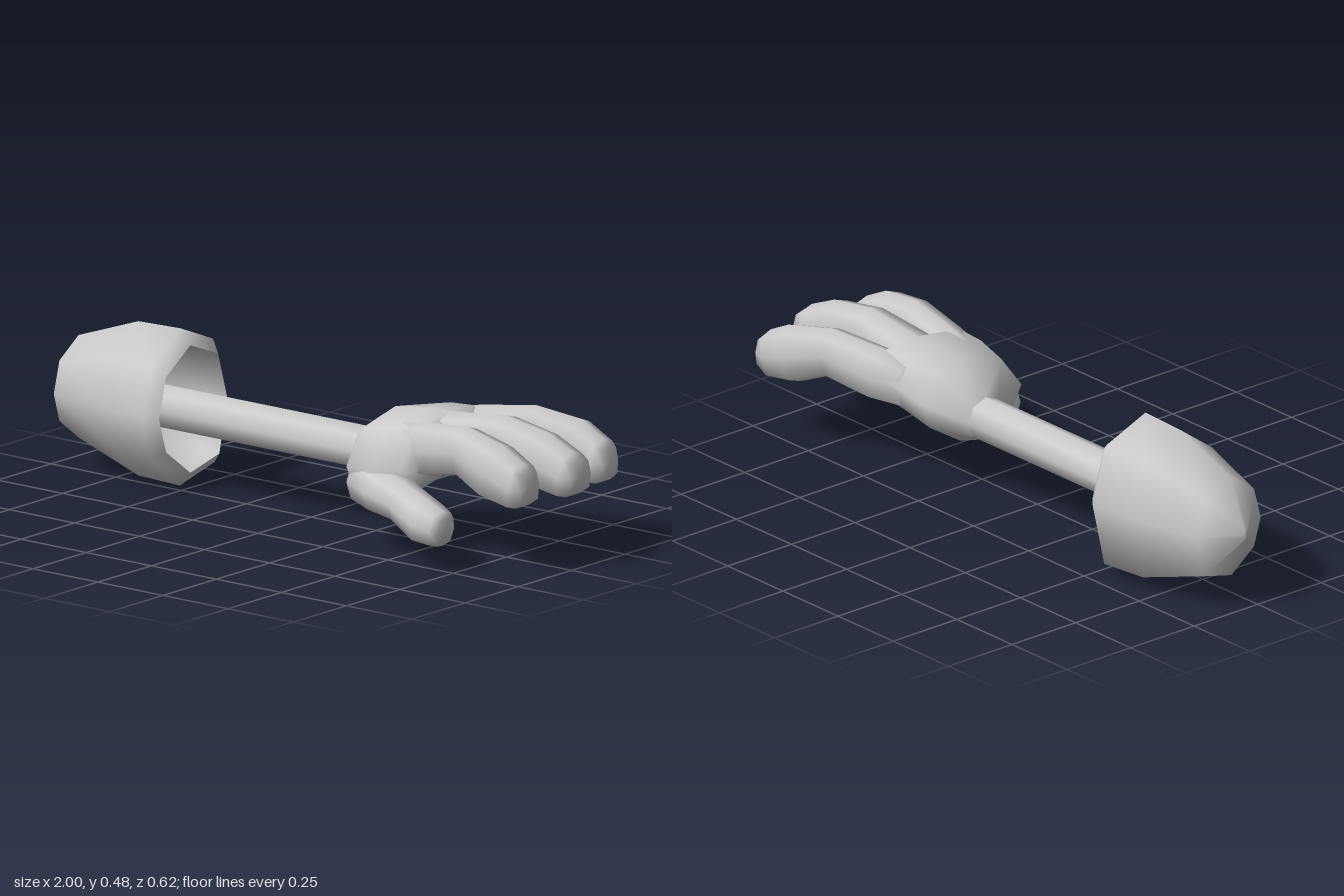
import * as THREE from 'three';

const SIDES = 8;
const material = new THREE.MeshStandardMaterial({ color: 0xcccccc });

// Skins a list of 8-point rings (ordered top, back, bottom, front) and closes chosen ends.
function loft(name, rings, capStart = true, capEnd = true) {
  const pos = [], idx = [];
  rings.forEach(r => r.forEach(p => pos.push(p.x, p.y, p.z)));
  const at = (i, j) => i * SIDES + (j % SIDES);
  for (let i = 0; i < rings.length - 1; i++) {
    for (let j = 0; j < SIDES; j++) {
      idx.push(at(i, j), at(i + 1, j), at(i, j + 1));
      idx.push(at(i, j + 1), at(i + 1, j), at(i + 1, j + 1));
    }
  }
  const cap = (i, flip) => {
    const c = new THREE.Vector3();
    rings[i].forEach(p => c.addScaledVector(p, 1 / SIDES));
    const k = pos.length / 3;
    pos.push(c.x, c.y, c.z);
    for (let j = 0; j < SIDES; j++) {
      if (flip) idx.push(k, at(i, j + 1), at(i, j));
      else idx.push(k, at(i, j), at(i, j + 1));
    }
  };
  if (capStart) cap(0, false);
  if (capEnd) cap(rings.length - 1, true);
  const g = new THREE.BufferGeometry();
  g.setAttribute('position', new THREE.Float32BufferAttribute(pos, 3));
  g.setIndex(idx);
  g.computeVertexNormals();
  const mesh = new THREE.Mesh(g, material);
  mesh.name = name;
  return mesh;
}

// Rings set square to a path; each stop is [x, y, z, half height, half width].
// diagonal places the four corner points: 0.71 is round, larger is boxier.
function limb(name, stops, diagonal) {
  const d = diagonal;
  const unit = [[1, 0], [d, d], [0, 1], [-d, d], [-1, 0], [-d, -d], [0, -1], [d, -d]];
  const centres = stops.map(s => new THREE.Vector3(s[0], s[1], s[2]));
  const rings = stops.map((s, i) => {
    const t = centres[Math.min(i + 1, stops.length - 1)].clone()
      .sub(centres[Math.max(i - 1, 0)]).normalize();
    const side = new THREE.Vector3(0, 1, 0).cross(t).normalize();
    const up = t.clone().cross(side);
    return unit.map(([u, v]) => centres[i].clone()
      .addScaledVector(up, u * s[3]).addScaledVector(side, v * s[4]));
  });
  return loft(name, rings);
}

const section = (x, yz) => yz.map(([y, z]) => new THREE.Vector3(x, y, z));

export function createModel() {
  const model = new THREE.Group();
  model.name = 'gloveArm';

  // Sleeve: uneven octagon scaled along the arm [x, y scale, z scale], with a hollow mouth
  const outline = [[0.243, 0], [0.18, -0.155], [0, -0.207], [-0.2, -0.162],
    [-0.24, 0], [-0.135, 0.135], [0, 0.175], [0.15, 0.135]];
  const sleeveRing = ([x, sy, sz]) =>
    section(x, outline.map(([y, z]) => [0.24 + y * sy, -0.043 + z * sz]));
  const sleeve = new THREE.Group();
  sleeve.name = 'sleeve';
  sleeve.add(
    loft('sleeveShell', [[-1, 0.07, 0.05], [-0.93, 0.65, 0.66], [-0.7, 0.98, 0.92],
      [-0.54, 1, 1], [-0.5, 0.81, 0.84]].map(sleeveRing), true, false),
    loft('sleeveLining', [[-0.5, 0.81, 0.84], [-0.56, 0.8, 0.8], [-0.72, 0.72, 0.72]]
      .map(sleeveRing), false, true));
  model.add(sleeve);

  // Arm
  model.add(limb('forearm', [[-0.75, 0.233, -0.047, 0.067, 0.067],
    [-0.2, 0.233, -0.047, 0.067, 0.067], [0.2, 0.233, -0.047, 0.067, 0.067]], 0.71));

  // Palm, widening from the wrist and tilted toward the thumb
  const hand = new THREE.Group();
  hand.name = 'hand';
  const wrist = Array.from({ length: SIDES }, (_, j) => {
    const a = j / SIDES * Math.PI * 2;
    return [0.233 + Math.cos(a) * 0.068, -0.047 - Math.sin(a) * 0.068];
  });
  hand.add(loft('palm', [
    section(0.18, wrist),
    section(0.29, [[0.38, -0.04], [0.365, -0.14], [0.28, -0.2], [0.2, -0.17],
      [0.125, -0.05], [0.112, 0.12], [0.24, 0.19], [0.345, 0.11]]),
    section(0.4, [[0.393, -0.04], [0.385, -0.165], [0.31, -0.215], [0.23, -0.18],
      [0.16, -0.05], [0.13, 0.13], [0.24, 0.205], [0.365, 0.125]]),
    section(0.49, [[0.396, -0.04], [0.388, -0.175], [0.32, -0.222], [0.25, -0.19],
      [0.21, -0.05], [0.175, 0.12], [0.255, 0.175], [0.375, 0.118]]),
    section(0.54, [[0.36, -0.04], [0.35, -0.17], [0.32, -0.2], [0.29, -0.18],
      [0.265, -0.05], [0.24, 0.09], [0.28, 0.13], [0.35, 0.1]]),
  ]));

  // Three fingers share one curled profile: [x, y, half height]
  const profile = [[0.4, 0.31, 0.07], [0.52, 0.318, 0.082], [0.7, 0.344, 0.075],
    [0.84, 0.308, 0.088], [0.945, 0.276, 0.073], [0.985, 0.278, 0.05]];
  // Each finger: name, [centre z, half width] per stop, tip x, lift
  const fingers = [
    ['backFinger', [[-0.158, 0.05], [-0.18, 0.054], [-0.222, 0.053],
      [-0.255, 0.06], [-0.252, 0.054], [-0.255, 0.043]], 0.945, -0.008],
    ['middleFinger', [[-0.045, 0.065], [-0.047, 0.075], [-0.046, 0.064],
      [-0.046, 0.065], [-0.048, 0.06], [-0.049, 0.052]], 1, 0],
    ['frontFinger', [[0.075, 0.05], [0.087, 0.054], [0.106, 0.056],
      [0.125, 0.064], [0.129, 0.058], [0.131, 0.046]], 0.95, -0.008],
  ];
  for (const [name, widths, reach, lift] of fingers) {
    const stops = profile.map(([x, y, ry], i) =>
      [0.4 + (x - 0.4) * (reach - 0.4) / 0.592, y + lift, widths[i][0], ry, widths[i][1]]);
    hand.add(limb(name, stops, 0.8));
  }

  // Thumb
  hand.add(limb('thumb', [[0.31, 0.19, 0.115, 0.07, 0.07], [0.42, 0.183, 0.165, 0.068, 0.075],
    [0.53, 0.17, 0.205, 0.058, 0.062], [0.65, 0.14, 0.25, 0.067, 0.062],
    [0.7, 0.128, 0.252, 0.058, 0.052], [0.722, 0.124, 0.252, 0.045, 0.04]], 0.77));
  model.add(hand);
  return model;
}
